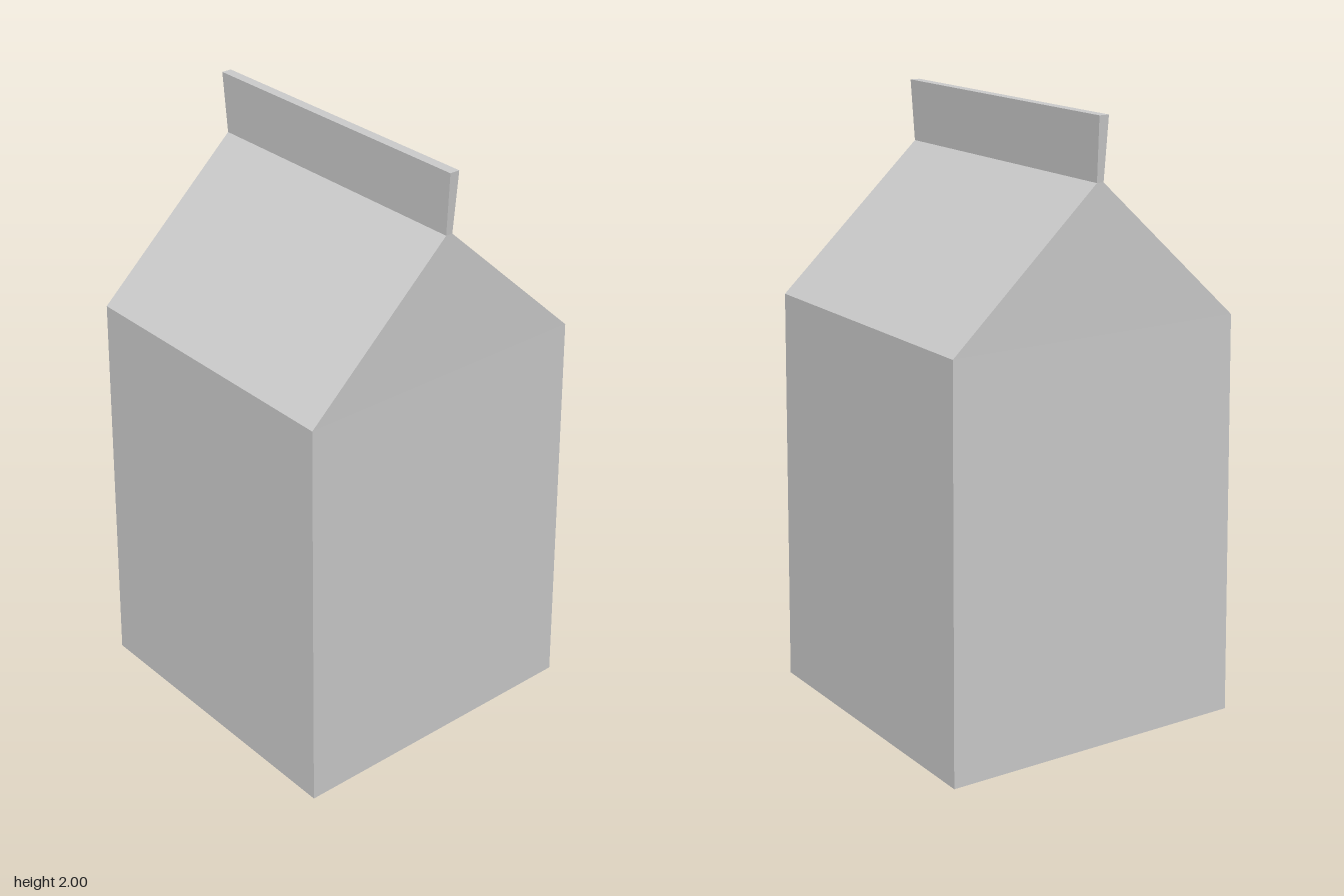
import * as THREE from 'three';

// Rectangular sections up the carton: half width, half depth, height
const base = { x: 0.529, z: 0.529, y: 0 };
const shoulder = { x: 0.514, z: 0.514, y: 1.338 };
const ridge = { x: 0.012, z: 0.514, y: 1.8 };
const tip = { x: 0.017, z: 0.529, y: 2 };

// Box stretched between two sections; only the listed faces are kept
// (0 left, 1 right, 2 top, 3 bottom, 4 front, 5 back)
function band(name, low, high, faces, material) {
  const geometry = new THREE.BoxGeometry(2, 2, 2);
  const pos = geometry.attributes.position;
  for (let i = 0; i < pos.count; i++) {
    const s = pos.getY(i) < 0 ? low : high;
    pos.setXYZ(i, pos.getX(i) * s.x, s.y, pos.getZ(i) * s.z);
  }
  const index = Array.from(geometry.index.array);
  geometry.setIndex(faces.flatMap((f) => index.slice(f * 6, f * 6 + 6)));
  geometry.clearGroups();
  geometry.computeVertexNormals();
  const mesh = new THREE.Mesh(geometry, material);
  mesh.name = name;
  return mesh;
}

export function createModel() {
  const card = new THREE.MeshStandardMaterial({ color: 0xcccccc });
  card.name = 'plain grey card';

  const carton = new THREE.Group();
  carton.name = 'carton';
  const sides = [0, 1, 4, 5];
  carton.add(
    band('body', base, shoulder, [...sides, 3], card), // tapered body with its floor
    band('gableRoof', shoulder, ridge, sides, card), // sloping roof and gables
    band('topSeal', ridge, tip, [...sides, 2], card) // flared sealed fin
  );
  return carton;
}
